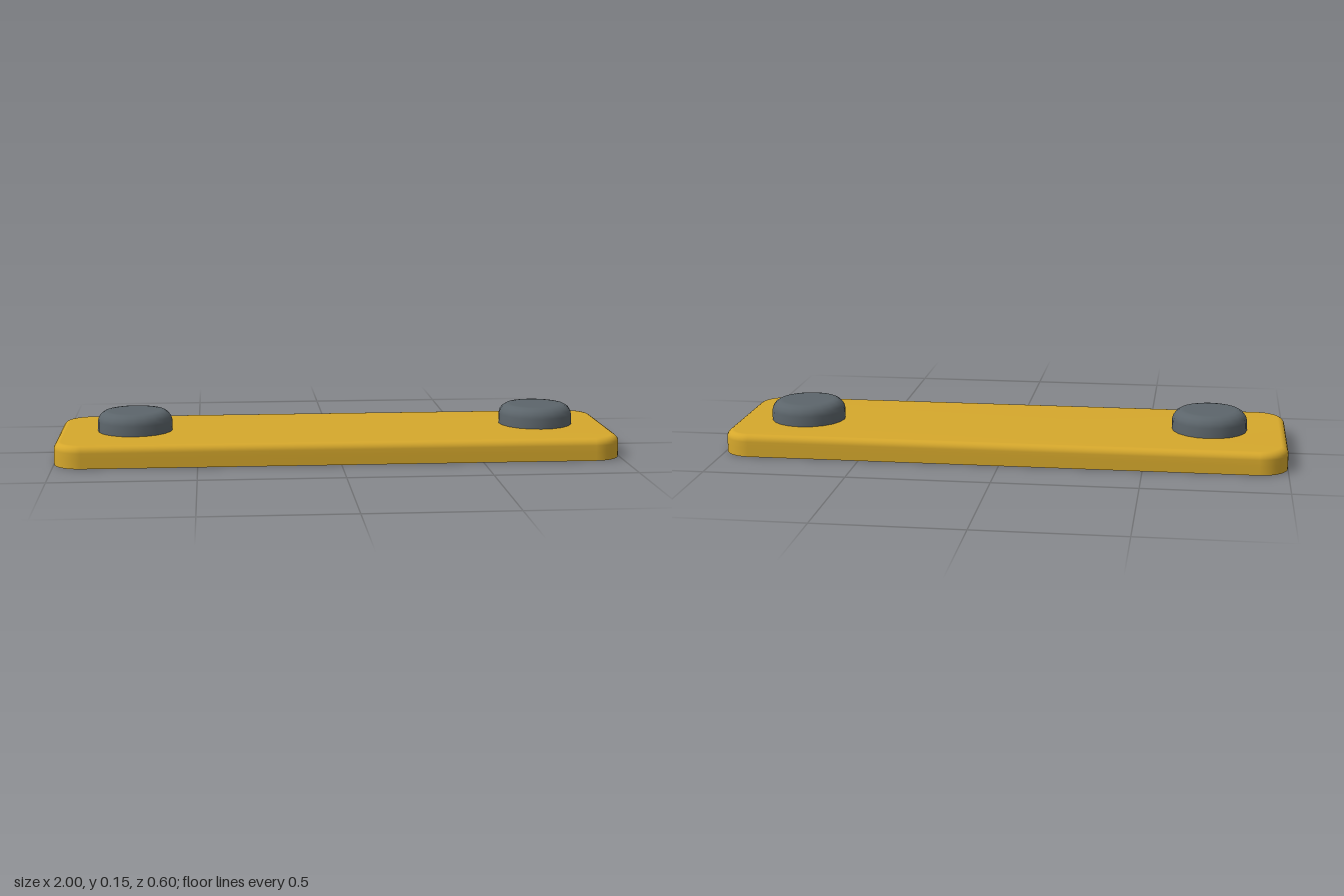
import * as THREE from 'three';

// Rounded rectangle outline, counter-clockwise seen from above
function outline(halfX, halfZ, radius, y, steps = 8) {
  const points = [];
  for (let corner = 0; corner < 4; corner++) {
    const sx = corner === 0 || corner === 3 ? 1 : -1;
    const sz = corner < 2 ? -1 : 1;
    for (let i = 0; i <= steps; i++) {
      const a = (corner + i / steps) * Math.PI / 2;
      points.push([
        sx * (halfX - radius) + radius * Math.cos(a),
        y,
        sz * (halfZ - radius) - radius * Math.sin(a),
      ]);
    }
  }
  return points;
}

// Thin shell, open underneath: stacked outlines closed by a flat top
function shellGeometry(sections, top) {
  const rings = sections.map(([inset, y]) => outline(1 - inset, 0.298 - inset, 0.1 - inset, y));
  const n = rings[0].length;
  const positions = rings.flat(2);
  const index = [];
  for (let r = 0; r < rings.length - 1; r++) {
    for (let i = 0; i < n; i++) {
      const j = (i + 1) % n;
      const a = r * n + i, b = r * n + j;
      index.push(a, b, a + n, b, b + n, a + n);
    }
  }
  const base = (rings.length - 1) * n, centre = rings.length * n;
  positions.push(0, top, 0);
  for (let i = 0; i < n; i++) index.push(base + i, base + (i + 1) % n, centre);
  const geometry = new THREE.BufferGeometry();
  geometry.setAttribute('position', new THREE.Float32BufferAttribute(positions, 3));
  geometry.setIndex(index);
  geometry.computeVertexNormals();
  return geometry;
}

export function createModel() {
  const model = new THREE.Group();
  model.name = 'studdedPlate';

  const yellow = new THREE.MeshStandardMaterial({ color: 0xd6a82c, side: THREE.DoubleSide });
  yellow.name = 'yellow';
  const grey = new THREE.MeshStandardMaterial({ color: 0x5c656b });
  grey.name = 'slateGrey';

  // Hollow plate with a softly rounded upper edge
  const top = 0.079;
  const sections = [[0, 0], [0, 0.03]];
  for (let i = 0; i <= 5; i++) {
    const a = i / 5 * Math.PI / 2;
    sections.push([0.025 * (1 - Math.cos(a)), top - 0.025 * (1 - Math.sin(a))]);
  }
  const plate = new THREE.Mesh(shellGeometry(sections, top), yellow);
  plate.name = 'plate';
  model.add(plate);

  // Round studs with a bevelled rim, open where they meet the plate
  const profile = [
    [0.134, top], [0.134, 0.115], [0.13, 0.13], [0.121, 0.142],
    [0.108, 0.15], [0.092, 0.152], [0, 0.152],
  ].map(([x, y]) => new THREE.Vector2(x, y));
  const studGeometry = new THREE.LatheGeometry(profile, 20);
  for (const [name, x, z] of [['rightStud', -0.725, 0.004], ['leftStud', 0.744, -0.025]]) {
    const stud = new THREE.Mesh(studGeometry, grey);
    stud.name = name;
    stud.position.set(x, 0, z);
    model.add(stud);
  }
  return model;
}
